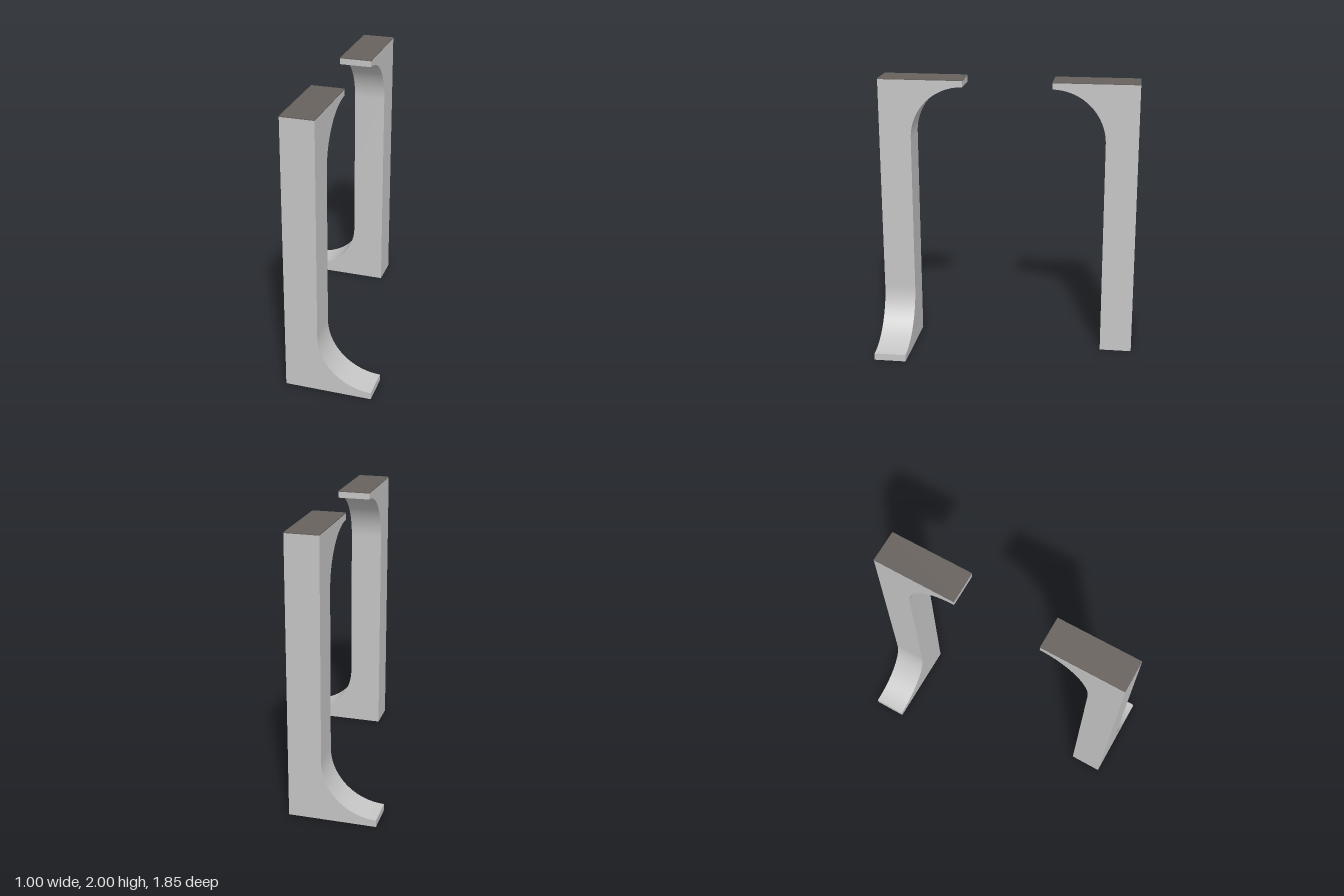
import * as THREE from 'three';
import { toCreasedNormals } from 'three/addons/utils/BufferGeometryUtils.js';

const HALF = 0.117;            // half width of a post
const INNER = 0.695, OUTER = 0.925, ARM_TIP = 0.317;
const TOP = 2, CAP = 0.006, LIP = 0.05;
const FOOT_TIP = 0.5;

// Extrude an outline and keep its curves smooth and its edges sharp
function extrude(shape, depth) {
  const geo = new THREE.ExtrudeGeometry(shape, { depth, bevelEnabled: false, curveSegments: 24 });
  return toCreasedNormals(geo, 0.5);
}

export function createModel() {
  const paleGrey = new THREE.MeshStandardMaterial({ color: 0xc6c6c6 });
  paleGrey.name = 'pale grey';
  const darkGrey = new THREE.MeshStandardMaterial({ color: 0x68625e });
  darkGrey.name = 'dark warm grey';

  // Post with a coved arm at its top, outlined in (z, y)
  const armRadius = INNER - ARM_TIP;
  const armY = TOP - LIP - armRadius;
  const post = new THREE.Shape();
  post.moveTo(OUTER, 0);
  post.lineTo(OUTER, TOP - CAP);
  post.lineTo(ARM_TIP, TOP - CAP);
  post.lineTo(ARM_TIP, TOP - LIP);
  post.absarc(ARM_TIP, armY, armRadius, Math.PI / 2, 0, true);
  post.lineTo(INNER, 0);
  post.closePath();
  const postGeo = extrude(post, HALF * 2);
  postGeo.rotateY(-Math.PI / 2).translate(HALF, 0, 0);

  // Coved foot beside the post, outlined in (x, y)
  const footRadius = FOOT_TIP - HALF;
  const foot = new THREE.Shape();
  foot.moveTo(HALF, 0);
  foot.lineTo(FOOT_TIP, 0);
  foot.lineTo(FOOT_TIP, LIP);
  foot.absarc(FOOT_TIP, LIP + footRadius, footRadius, Math.PI * 1.5, Math.PI, true);
  foot.closePath();
  const footGeo = extrude(foot, OUTER - INNER);
  footGeo.translate(0, 0, INNER);

  // Dark plate on the top face
  const capGeo = new THREE.BoxGeometry(HALF * 2, CAP, OUTER - ARM_TIP);
  capGeo.translate(0, TOP - CAP / 2, (OUTER + ARM_TIP) / 2);

  // Front leg, and the back leg turned half a circle
  const model = new THREE.Group();
  model.name = 'supportLegs';
  ['front', 'back'].forEach((side, i) => {
    const leg = new THREE.Group();
    leg.name = side + 'Leg';
    [['Post', postGeo, paleGrey], ['Foot', footGeo, paleGrey], ['TopPlate', capGeo, darkGrey]]
      .forEach(([part, geo, mat]) => {
        const mesh = new THREE.Mesh(geo, mat);
        mesh.name = side + part;
        leg.add(mesh);
      });
    leg.rotation.y = i * Math.PI;
    model.add(leg);
  });
  return model;
}
